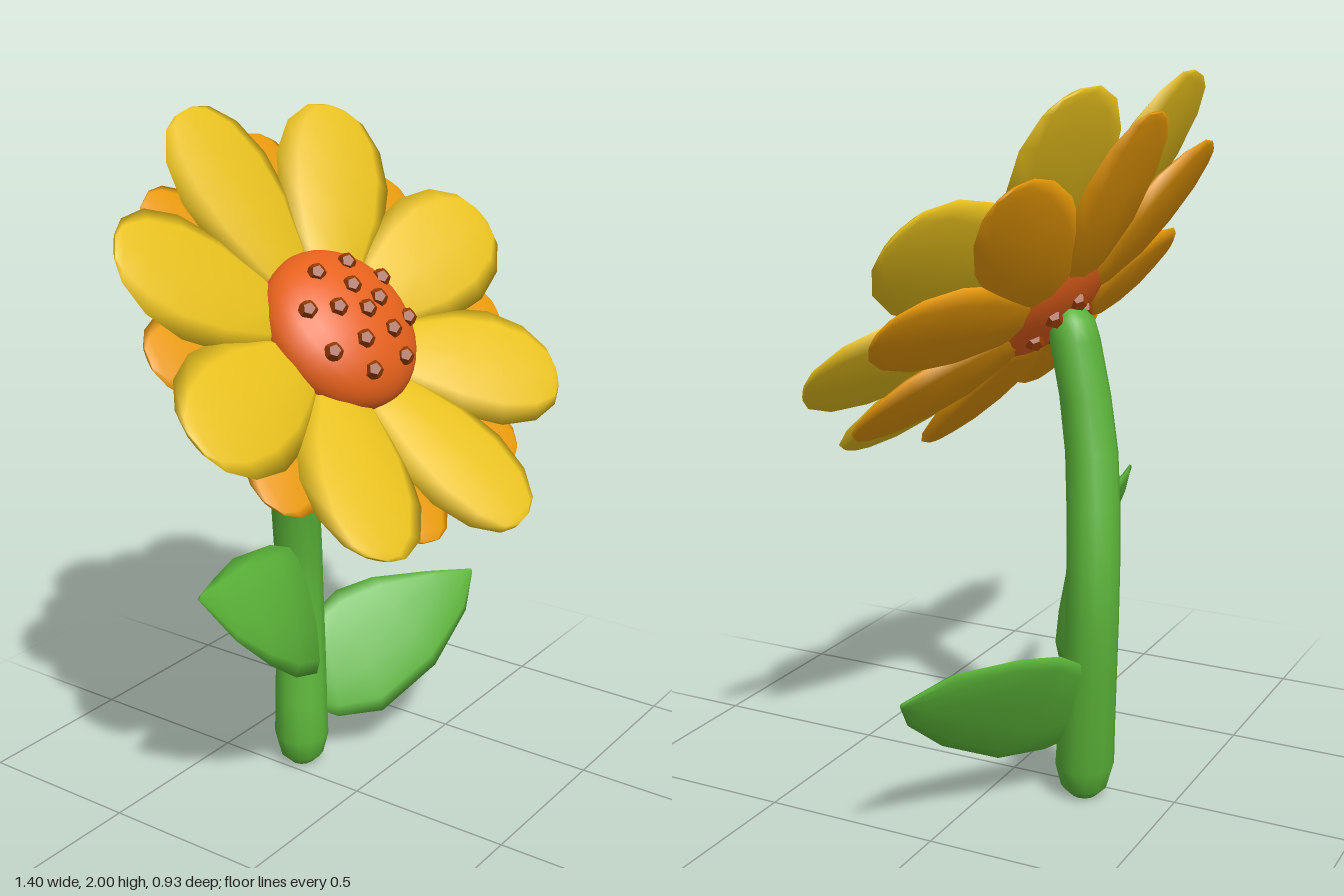
import * as THREE from 'three';

const V = (x, y, z) => new THREE.Vector3(x, y, z);
const mat = (name, color, side = THREE.FrontSide) => {
  const m = new THREE.MeshStandardMaterial({ color, side });
  m.name = name;
  return m;
};

// Closed oval cross-section: half-width vector, thickness direction, arch of the middle
function section(mid, half, normal, thick, bulge = 0, n = 10) {
  return Array.from({ length: n }, (_, i) => {
    const a = (i / n) * Math.PI * 2, s = Math.sin(a);
    return mid.clone().addScaledVector(half, Math.cos(a))
      .addScaledVector(normal, thick * s + bulge * s * s);
  });
}

// Smooth skin over a row of cross-sections, with pinched ends
function loft(rings) {
  const n = rings[0].length, pts = rings.flat(), index = [];
  rings.slice(1).forEach((_, i) => {
    for (let j = 0; j < n; j++) {
      const a = i * n + j, b = i * n + (j + 1) % n;
      index.push(a, b, a + n, b, b + n, a + n);
    }
  });
  const centre = (r) => r.reduce((s, p) => s.add(p), V(0, 0, 0)).divideScalar(n);
  const start = pts.push(centre(rings[0])) - 1;
  const end = pts.push(centre(rings[rings.length - 1])) - 1;
  const last = (rings.length - 1) * n;
  for (let j = 0; j < n; j++) {
    const k = (j + 1) % n;
    index.push(start, k, j, end, last + j, last + k);
  }
  const g = new THREE.BufferGeometry().setFromPoints(pts);
  g.setIndex(index);
  g.computeVertexNormals();
  return g;
}

export function createModel() {
  const model = new THREE.Group();
  model.name = 'flower';
  const green = mat('leafGreen', 0x5ab238, THREE.DoubleSide);
  const yellow = mat('petalYellow', 0xe7c01d);
  const amber = mat('petalAmber', 0xea9a06);
  const orange = mat('centreOrange', 0xe6611c);
  const brown = mat('seedBrown', 0x963c04);
  const add = (parent, name, geo, m) => {
    const mesh = new THREE.Mesh(geo, m);
    mesh.name = name;
    parent.add(mesh);
    return mesh;
  };

  // Stem: x, y, z, radius
  const stem = [
    [0.06, 0.005, -0.25, 0.035], [0.06, 0.035, -0.25, 0.066], [0.062, 0.1, -0.252, 0.083],
    [0.075, 0.22, -0.262, 0.08], [0.1, 0.38, -0.28, 0.076], [0.113, 0.55, -0.292, 0.073],
    [0.105, 0.7, -0.29, 0.073], [0.075, 0.86, -0.275, 0.073], [0.045, 1.0, -0.255, 0.072],
    [0.025, 1.15, -0.225, 0.07], [0.018, 1.3, -0.19, 0.069], [0.016, 1.355, -0.183, 0.058],
    [0.016, 1.382, -0.182, 0.03],
  ];
  add(model, 'stem', loft(stem.map(([x, y, z, r]) =>
    section(V(x, y, z), V(0, 0, r), V(1, 0, 0), r, 0, 12))), green);

  // Leaves: lower edge point, upper edge point, thickness, arch
  const leaf = (name, rows, normal, flip) => add(model, name, loft(rows.map(([lo, up, t, b]) => {
    const L = V(...lo), U = V(...up);
    const half = U.clone().sub(L).multiplyScalar(flip ? -0.5 : 0.5);
    return section(L.add(U).multiplyScalar(0.5), half, normal, t, b);
  })), green);
  leaf('leftLeaf', [
    [[0.1, 0.17, -0.2], [0.13, 0.39, -0.29], 0.02, 0],
    [[0.13, 0.15, -0.16], [0.19, 0.45, -0.29], 0.025, 0],
    [[0.24, 0.15, -0.07], [0.27, 0.495, -0.27], 0.025, 0],
    [[0.43, 0.25, 0], [0.38, 0.515, -0.21], 0.022, 0],
    [[0.6, 0.375, 0.005], [0.53, 0.51, -0.1], 0.016, 0],
    [[0.692, 0.465, -0.03], [0.69, 0.478, -0.035], 0.004, 0],
  ], V(-0.3, 0.5, 0.81).normalize(), false);
  leaf('rightLeaf', [
    [[0.05, 0.37, -0.19], [0.04, 0.68, -0.27], 0.025, 0],
    [[-0.02, 0.37, -0.13], [0, 0.74, -0.24], 0.028, 0.01],
    [[-0.2, 0.45, -0.07], [-0.13, 0.8, -0.21], 0.028, 0.01],
    [[-0.32, 0.54, -0.07], [-0.32, 0.83, -0.19], 0.025, 0.01],
    [[-0.43, 0.65, -0.095], [-0.44, 0.82, -0.16], 0.018, 0],
    [[-0.535, 0.8, -0.13], [-0.53, 0.813, -0.13], 0.004, 0],
  ], V(0.1, 0.36, 0.93).normalize(), true);

  // Flower head, facing forward and up; petals radiate in its local xy plane
  const head = new THREE.Group();
  head.name = 'flowerHead';
  const axisN = V(-0.12, 0.636, 0.762).normalize();
  const axisX = V(0.974, 0.226, -0.035).projectOnPlane(axisN).normalize();
  const axisY = axisN.clone().cross(axisX);
  head.quaternion.setFromRotationMatrix(new THREE.Matrix4().makeBasis(axisX, axisY, axisN));
  head.position.set(0, 1.43, -0.05);
  model.add(head);

  // Petal rows: radius, half width, height, half thickness
  const petalGeo = (rows) => loft(rows.map(([r, w, h, t]) =>
    section(V(r, 0, h), V(0, w, 0), V(0, 0, 1), t, 0, 8)));
  const frontPetal = petalGeo([
    [0.13, 0.06, -0.045, 0.02], [0.24, 0.12, -0.025, 0.034], [0.38, 0.176, 0, 0.039],
    [0.51, 0.189, 0.024, 0.035], [0.62, 0.158, 0.045, 0.025], [0.69, 0.095, 0.058, 0.012],
    [0.71, 0.04, 0.061, 0.006],
  ]);
  const backPetal = petalGeo([
    [0.1, 0.045, -0.095, 0.018], [0.18, 0.1, -0.085, 0.03], [0.31, 0.15, -0.066, 0.036],
    [0.43, 0.155, -0.047, 0.032], [0.54, 0.126, -0.031, 0.022], [0.605, 0.08, -0.022, 0.011],
    [0.63, 0.035, -0.02, 0.005],
  ]);
  for (let i = 0; i < 8; i++) {
    add(head, 'frontPetal', frontPetal, yellow).rotation.z = (i * Math.PI) / 4;
    add(head, 'backPetal', backPetal, amber).rotation.z = ((i + 0.5) * Math.PI) / 4;
  }

  // Domed centre
  const R = 0.24, H = 0.13;
  const disc = new THREE.Group();
  disc.name = 'flowerCentre';
  disc.position.z = -0.012;
  head.add(disc);
  add(disc, 'dome', new THREE.SphereGeometry(1, 28, 20), orange).scale.set(R, R, H);

  // Seeds: x, y offsets seen from the front, dropped onto the dome; inner ones repeat behind it
  const seeds = [
    [-0.07, 0.17], [0.05, 0.178], [-0.01, 0.135], [0.05, 0.095], [0.14, 0.125], [-0.165, 0.095],
    [-0.095, 0.095], [-0.015, 0.08], [0.145, 0.025], [-0.165, -0.005], [-0.07, 0.015],
    [0.04, 0.02], [-0.075, -0.065], [0.055, -0.055],
  ];
  const seedGeo = new THREE.DodecahedronGeometry(0.027);
  const inverse = head.quaternion.clone().invert();
  const squash = V(1 / R, 1 / R, 1 / H);
  for (const [x, y] of seeds) {
    const p = V(x, y, 0).applyQuaternion(inverse), d = V(0, 0, 1).applyQuaternion(inverse);
    const ps = p.clone().multiply(squash), ds = d.clone().multiply(squash);
    const a = ds.dot(ds), b = ps.dot(ds), c = ps.dot(ps) - 1;
    p.addScaledVector(d, (-b + Math.sqrt(Math.max(0, b * b - a * c))) / a);
    add(disc, 'seed', seedGeo, brown).position.copy(p);
    if (Math.hypot(p.x, p.y) < 0.15) {
      add(disc, 'backSeed', seedGeo, brown).position.set(p.x, p.y, -p.z);
    }
  }
  return model;
}
